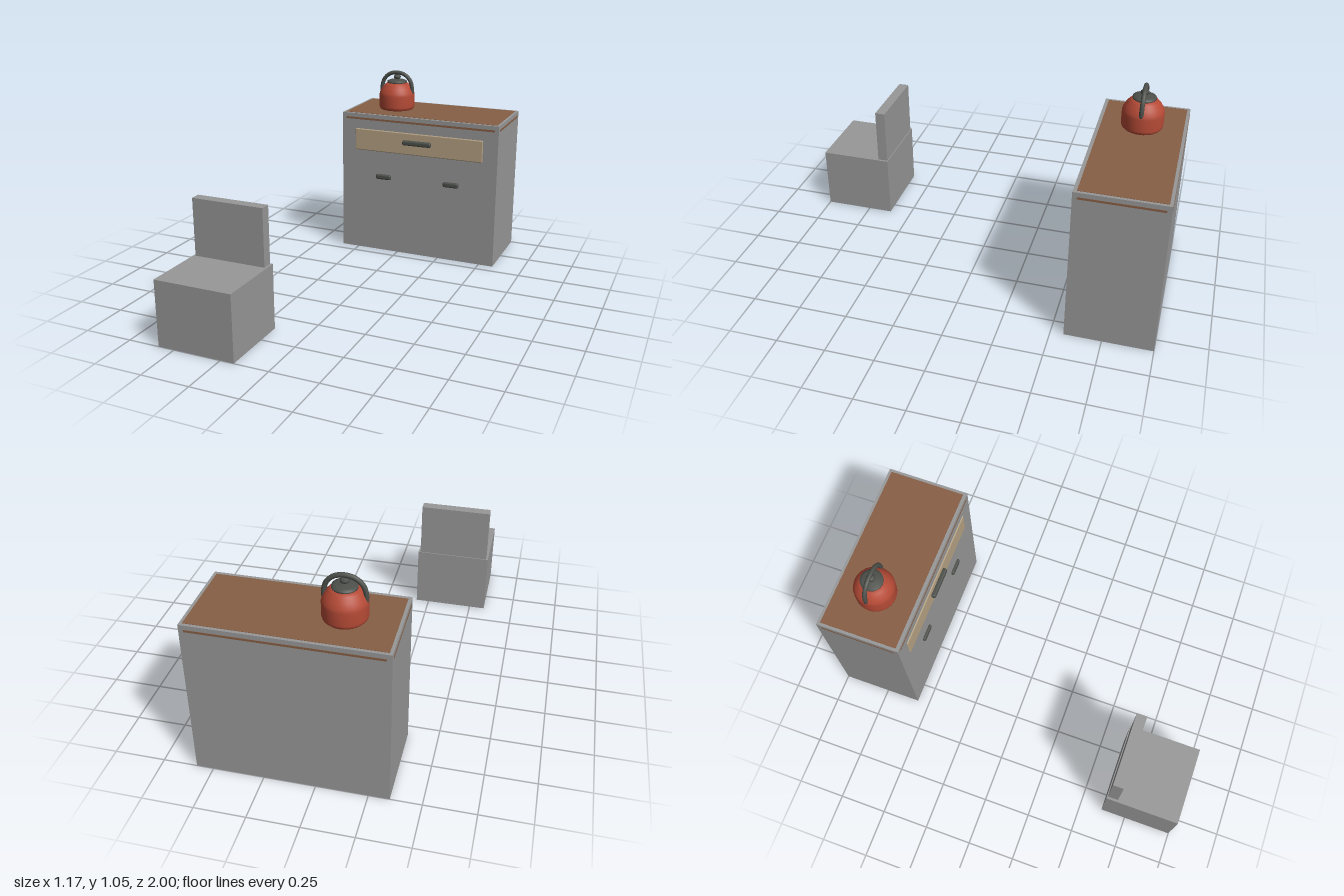
import * as THREE from 'three';
import { RoundedBoxGeometry } from 'three/addons/geometries/RoundedBoxGeometry.js';

const material = (name, color, side = THREE.FrontSide) =>
  Object.assign(new THREE.MeshStandardMaterial({ color, side }), { name });

export function createModel() {
  const grey = material('grey', 0x989898);
  const brown = material('wood brown', 0x885f45);
  const tan = material('light wood', 0xb5a283);
  const red = material('enamel red', 0xb54a36, THREE.DoubleSide);
  const dark = material('dark metal', 0x4d504b);

  const model = new THREE.Group();
  model.name = 'kitchenSet';
  const group = (name) => {
    const g = new THREE.Group();
    g.name = name;
    model.add(g);
    return g;
  };
  const add = (parent, name, geometry, mat, x = 0, y = 0, z = 0) => {
    const mesh = new THREE.Mesh(geometry, mat);
    mesh.name = name;
    mesh.position.set(x, y, z);
    parent.add(mesh);
    return mesh;
  };
  // Box given by its limits; a radius rounds its edges
  const box = (parent, name, mat, [x0, x1], [y0, y1], [z0, z1], radius = 0) => {
    const size = [x1 - x0, y1 - y0, z1 - z0];
    const geometry = radius ? new RoundedBoxGeometry(...size, 3, radius) : new THREE.BoxGeometry(...size);
    return add(parent, name, geometry, mat, (x0 + x1) / 2, (y0 + y1) / 2, (z0 + z1) / 2);
  };

  // Cabinet with an inlaid top and a thin band on each side
  const cabinet = group('cabinet');
  box(cabinet, 'cabinetBody', grey, [-0.35, 0.583], [0, 0.82], [-1, -0.565]);
  box(cabinet, 'topInlay', brown, [-0.335, 0.568], [0.815, 0.8215], [-0.985, -0.583]);
  box(cabinet, 'frontBackBand', brown, [-0.327, 0.56], [0.786, 0.797], [-1.0012, -0.5638]);
  box(cabinet, 'sideBand', brown, [-0.3512, 0.5842], [0.786, 0.797], [-0.978, -0.587]);

  // Drawer and handles
  box(cabinet, 'drawerFront', tan, [-0.268, 0.498], [0.605, 0.732], [-0.575, -0.559], 0.006);
  box(cabinet, 'drawerHandle', dark, [0.03, 0.2], [0.664, 0.692], [-0.563, -0.537], 0.009);
  for (const x of [-0.09, 0.32]) {
    box(cabinet, 'doorHandle', dark, [x - 0.046, x + 0.046], [0.441, 0.47], [-0.575, -0.55], 0.009);
  }

  // Kettle turned from profiles, with an arched handle
  const kettle = group('kettle');
  kettle.position.set(-0.097, 0.82, -0.782);
  const lathe = (name, mat, points) =>
    add(kettle, name, new THREE.LatheGeometry(points.map(([r, y]) => new THREE.Vector2(r, y)), 32), mat);
  lathe('kettleBody', red, [[0, 0.001], [0.093, 0.001], [0.101, 0.009], [0.104, 0.022], [0.104, 0.085],
    [0.1, 0.102], [0.088, 0.125], [0.07, 0.146], [0.056, 0.157], [0, 0.157]]);
  lathe('kettleLid', dark, [[0.052, 0.152], [0.058, 0.157], [0.058, 0.165], [0.045, 0.171],
    [0.02, 0.174], [0.01, 0.177], [0, 0.177]]);
  lathe('lidKnob', dark, [[0.01, 0.172], [0.011, 0.177], [0.02, 0.183], [0.021, 0.193],
    [0.015, 0.2], [0, 0.201]]);
  const arch = new THREE.CatmullRomCurve3([[-0.093, 0.1], [-0.093, 0.13], [-0.08, 0.172], [-0.046, 0.204],
    [0, 0.214], [0.046, 0.204], [0.08, 0.172], [0.093, 0.13], [0.093, 0.1]]
    .map(([x, y]) => new THREE.Vector3(x, y, 0)));
  add(kettle, 'kettleHandle', new THREE.TubeGeometry(arch, 40, 0.0115, 12), dark);
  for (const side of [-1, 1]) {
    add(kettle, 'handleEnd', new THREE.SphereGeometry(0.0115, 12, 8), dark, side * 0.093, 0.1, 0);
  }

  // Block chair with a thin backrest
  const chair = group('chair');
  box(chair, 'seat', grey, [-0.585, -0.178], [0, 0.339], [0.618, 1]);
  box(chair, 'backrest', grey, [-0.573, -0.19], [0.339, 0.635], [0.623, 0.677]);
  for (const x of [-0.555, -0.208]) {
    for (const z of [0.648, 0.97]) {
      add(chair, 'footPad', new THREE.CylinderGeometry(0.013, 0.013, 0.003, 16), dark, x, 0.0008, z);
    }
  }
  return model;
}
